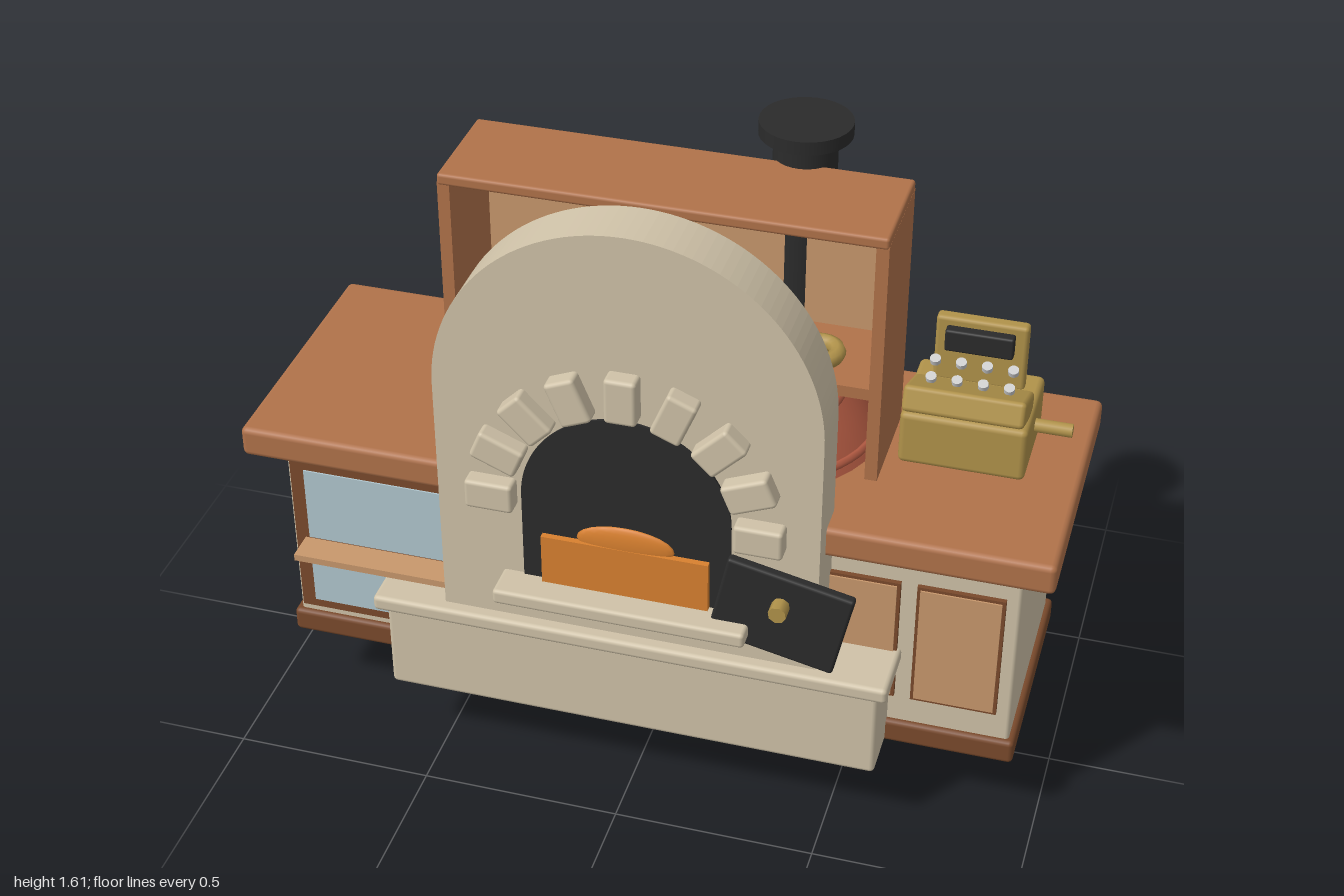
import * as THREE from 'three';
import { RoundedBoxGeometry } from 'three/addons/geometries/RoundedBoxGeometry.js';

const mat = (name, color) => {
  const m = new THREE.MeshStandardMaterial({ color });
  m.name = name;
  return m;
};

export function createModel() {
  const wood = mat('warm wood', 0xb0724a);
  const darkWood = mat('dark wood', 0x7a4a2c);
  const tan = mat('pale wood', 0xc8986c);
  const stone = mat('stone', 0xcfc2a8);
  const clay = mat('terracotta', 0xb25a42);
  const iron = mat('black iron', 0x2b2b2b);
  const brass = mat('brass', 0xb0924a);
  const glass = mat('pale glass', 0xb0c6ce);
  const glow = mat('baked orange', 0xd8802f);
  const silver = mat('key silver', 0xcccccc);

  const model = new THREE.Group();
  model.name = 'bakeryOven';

  const add = (name, geo, m, x = 0, y = 0, z = 0, parent = model) => {
    const mesh = new THREE.Mesh(geo, m);
    mesh.name = name;
    mesh.position.set(x, y, z);
    parent.add(mesh);
    return mesh;
  };
  // Box given by its limits on each axis; r rounds the edges
  const box = (name, m, x0, x1, y0, y1, z0, z1, r = 0, parent = model) => {
    const s = [x1 - x0, y1 - y0, z1 - z0];
    const geo = r ? new RoundedBoxGeometry(...s, 2, r) : new THREE.BoxGeometry(...s);
    return add(name, geo, m, (x0 + x1) / 2, (y0 + y1) / 2, (z0 + z1) / 2, parent);
  };
  // Upright slab with a semicircular top
  const archSlab = (r, y0, yc, depth) => {
    const s = new THREE.Shape();
    s.moveTo(-r, y0);
    s.lineTo(r, y0);
    s.lineTo(r, yc);
    s.absarc(0, yc, r, 0, Math.PI, false);
    s.lineTo(-r, y0);
    return new THREE.ExtrudeGeometry(s, { depth, bevelEnabled: false, curveSegments: 32 });
  };

  // Counter
  box('counterTop', wood, -1, 1, 0.78, 0.86, -0.385, 0.325, 0.015);
  box('counterBody', stone, -0.92, 0.92, 0.22, 0.785, -0.306, 0.25, 0.01);
  box('counterSkirting', darkWood, -0.935, 0.935, 0.2, 0.265, -0.325, 0.265, 0.012);

  // Glazed display on the counter front
  box('windowFrame', darkWood, -0.91, -0.36, 0.285, 0.74, 0.245, 0.258);
  box('windowPane', glass, -0.873, -0.4, 0.51, 0.715, 0.255, 0.262);
  box('windowPane', glass, -0.873, -0.4, 0.31, 0.483, 0.255, 0.262);
  box('windowRail', tan, -0.885, -0.36, 0.487, 0.505, 0.25, 0.335);

  // Cupboard doors
  for (const x of [0.425, 0.675]) {
    box('doorEdge', darkWood, x, x + 0.21, 0.345, 0.69, 0.245, 0.262);
    box('doorPanel', tan, x + 0.008, x + 0.202, 0.353, 0.682, 0.25, 0.266);
  }

  // Hearth plinth
  box('hearthBase', stone, -0.62, 0.62, 0.2, 0.455, -0.447, 0.39, 0.012);
  box('hearthTrim', stone, -0.645, 0.645, 0.445, 0.487, -0.472, 0.417, 0.012);

  // Domed oven with raised bands
  const A = 0.585, B = 0.572, C = 0.412, Y = 0.577, Z = -0.055;
  const dome = add('ovenDome', new THREE.SphereGeometry(1, 48, 32), clay, 0, Y, Z);
  dome.scale.set(A, B, C);
  for (const y of [0.67, 0.78, 0.885, 0.985, 1.07]) {
    const k = Math.sqrt(1 - ((y - Y) / B) ** 2);
    const pts = [];
    for (let i = 0; i < 48; i++) {
      const t = (i / 48) * Math.PI * 2;
      pts.push(new THREE.Vector3(A * k * Math.cos(t), y, C * k * Math.sin(t)));
    }
    const path = new THREE.CatmullRomCurve3(pts, true);
    add('ovenBand', new THREE.TubeGeometry(path, 80, 0.011, 6, true), clay, 0, 0, Z);
  }

  // Arched oven front, mouth and ring of stones
  add('ovenFront', archSlab(0.465, 0.48, 1.13, 0.136), stone, 0, 0, 0.247);
  add('ovenMouth', archSlab(0.255, 0.6, 0.86, 0.008), iron, 0, 0, 0.381);
  for (let i = 0; i <= 8; i++) {
    const t = (i / 8) * Math.PI;
    const s = add('archStone', new RoundedBoxGeometry(0.118, 0.077, 0.055, 2, 0.01), stone,
      0.326 * Math.cos(t), 0.86 + 0.326 * Math.sin(t), 0.398);
    s.rotation.z = t;
  }
  box('ovenLedge', stone, -0.31, 0.31, 0.583, 0.623, 0.37, 0.472, 0.01);
  box('bakeTray', glow, -0.205, 0.205, 0.62, 0.757, 0.385, 0.405);
  const loaf = add('loaf', new THREE.SphereGeometry(1, 24, 12), glow, 0, 0.765, 0.39);
  loaf.scale.set(0.12, 0.048, 0.014);

  // Iron door hanging askew, with its knob
  const door = new THREE.Group();
  door.name = 'ovenDoor';
  door.position.set(0.385, 0.662, 0.414);
  door.rotation.z = -0.21;
  model.add(door);
  box('doorPlate', iron, -0.155, 0.155, -0.115, 0.115, -0.014, 0.014, 0.008, door);
  const knob = add('doorKnob', new THREE.CylinderGeometry(0.022, 0.022, 0.045, 8), brass, -0.006, 0.036, 0.03, door);
  knob.rotation.x = Math.PI / 2;

  // Shelf unit behind the arch
  for (const s of [-1, 1]) {
    box('shelfSide', wood, s * 0.52 - 0.015, s * 0.52 + 0.015, 0.86, 1.5, -0.172, 0.107);
  }
  box('shelfTop', wood, -0.535, 0.535, 1.493, 1.523, -0.175, 0.11, 0.008);
  box('shelfBack', tan, -0.506, 0.506, 0.86, 1.495, -0.17, -0.15);
  box('shelfBoard', wood, -0.506, 0.506, 1.08, 1.11, -0.174, 0.1);
  for (const x of [-0.36, -0.12, 0.12, 0.36]) {
    const ring = add('shelfBread', new THREE.TorusGeometry(0.045, 0.02, 8, 20), brass, x, 1.128, 0);
    ring.rotation.x = Math.PI / 2;
  }

  // Chimney
  const cyl = (name, m, r, y0, y1) =>
    add(name, new THREE.CylinderGeometry(r, r, y1 - y0, 32), m, 0.262, (y0 + y1) / 2, -0.222);
  cyl('chimneyPipe', iron, 0.077, 0.95, 1.59);
  cyl('chimneyCap', iron, 0.112, 1.578, 1.612);
  cyl('chimneyCollar', brass, 0.094, 1.055, 1.077);

  // Till
  box('tillBody', brass, 0.565, 0.87, 0.865, 1.007, -0.23, 0.025, 0.015);
  const slab = add('tillKeyboard', new RoundedBoxGeometry(0.29, 0.065, 0.155, 2, 0.012), brass, 0.717, 1.035, -0.028);
  slab.rotation.x = -0.38;
  for (let i = 0; i < 4; i++) {
    for (const [y, z] of [[1.08, -0.036], [1.1, -0.083]]) {
      const x = 0.624 + i * 0.062;
      add('tillKey', new THREE.CylinderGeometry(0.013, 0.013, 0.014, 12), silver, x, y, z).rotation.x = 0.38;
    }
  }
  box('tillSign', brass, 0.608, 0.83, 1.0, 1.178, -0.187, -0.152, 0.01);
  box('tillDisplay', iron, 0.635, 0.8, 1.1, 1.158, -0.155, -0.125, 0.006);
  const crank = add('tillCrank', new THREE.CylinderGeometry(0.017, 0.017, 0.1, 16), brass, 0.91, 0.945, -0.105);
  crank.rotation.z = Math.PI / 2;

  return model;
}
